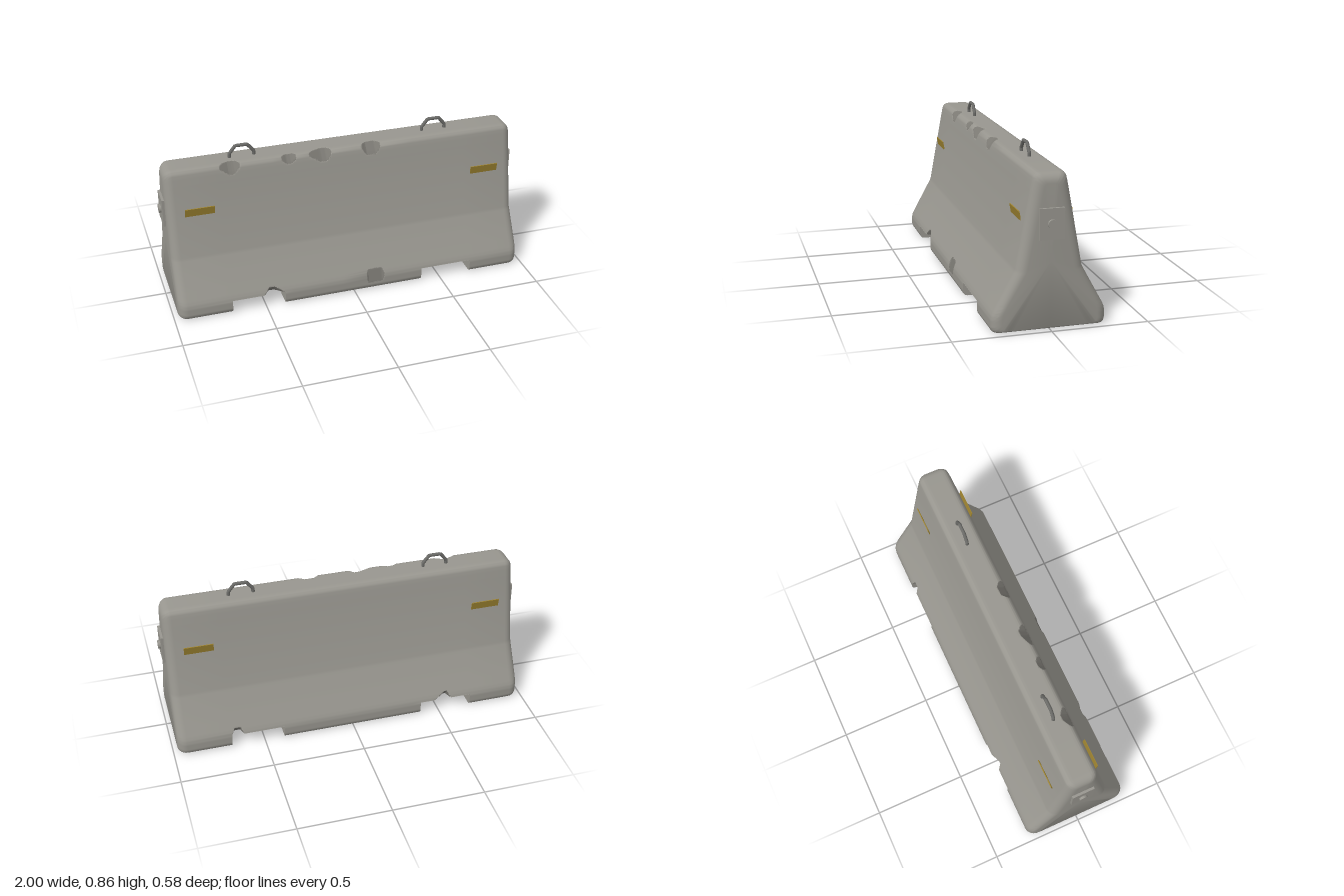
import * as THREE from 'three';
import { toCreasedNormals } from 'three/addons/utils/BufferGeometryUtils.js';

const HALF = 0.975, END_R = 0.05, NOTCH_Y = 0.075;
const NOTCHES = [[-0.685, -0.392], [0.39, 0.682]];

// Half cross-section (z, y), bottom centre to top centre
const HALF_PROFILE = [
  [0, 0], [0.225, 0], [0.268, 0], [0.28, 0.003], [0.288, 0.012], [0.292, 0.025], [0.292, 0.065],
  [0.288, 0.085], [0.28, 0.103], [0.255, 0.149], [0.175, 0.295], [0.168, 0.312], [0.097, 0.7],
  [0.088, 0.745], [0.083, 0.765], [0.073, 0.778], [0.058, 0.784], [0.025, 0.784], [0, 0.784],
];

// Broken edges: x span and flat span, side, outward direction (z, y), edge height along it, depth
const CHIPS = [
  { x: [-0.68, -0.63, -0.6, -0.565], side: 1, dir: [0.75, 0.66], top: 0.568, depth: 0.018 },
  { x: [-0.345, -0.315, -0.29, -0.26], side: 1, dir: [0.75, 0.66], top: 0.568, depth: 0.012 },
  { x: [-0.195, -0.125, -0.095, -0.065], side: 1, dir: [0.75, 0.66], top: 0.568, depth: 0.02 },
  { x: [0.1, 0.13, 0.18, 0.21], side: 1, dir: [0.75, 0.66], top: 0.568, depth: 0.018 },
  { x: [-0.51, -0.48, -0.45, -0.395], side: 1, dir: [0.8, -0.6], top: 0.189, depth: 0.035 },
  { x: [0.07, 0.08, 0.16, 0.175], side: 1, dir: [0.97, 0.24], top: 0.3005, depth: 0.0075 },
  { x: [-0.57, -0.55, -0.535, -0.475], side: -1, dir: [0.8, -0.6], top: 0.189, depth: 0.038 },
  { x: [0.615, 0.63, 0.665, 0.682], side: -1, dir: [0.8, -0.6], top: 0.189, depth: 0.035 },
];

// Full loop, subdivided finely near the chipped edges
function makeProfile() {
  const half = [];
  for (let i = 0; i < HALF_PROFILE.length - 1; i++) {
    const [z0, y0] = HALF_PROFILE[i], [z1, y1] = HALF_PROFILE[i + 1];
    const fine = (y0 >= 0.7 || y1 < 0.15) && z0 + z1 > 0.06 && i > 0;
    const n = fine ? Math.ceil(Math.hypot(z1 - z0, y1 - y0) / 0.007) : 1;
    for (let k = 0; k < n; k++) half.push([z0 + (z1 - z0) * k / n, y0 + (y1 - y0) * k / n]);
  }
  half.push(HALF_PROFILE.at(-1));
  return [...half, ...half.slice(1, -1).reverse().map(([z, y]) => [-z, y])];
}

function halfWidth(y) {
  if (y < 0.1) return 0.29;
  if (y < 0.3) return 0.29 - (y - 0.1) * 0.6;
  return 0.17 - (y - 0.3) * 0.175;
}

// Stations along x, with doubled ones at the notch walls
function makeStations() {
  const list = [];
  for (let i = 0; i <= 6; i++) {
    const a = i / 6 * Math.PI / 2;
    const x = HALF - END_R * (1 - Math.sin(a)), inset = END_R * (1 - Math.cos(a));
    // a = 90 degrees is the end face
    for (const s of [-1, 1]) list.push({ x: s * x, inset, notch: false, order: 0 });
  }
  for (const [a, b] of NOTCHES) {
    list.push({ x: a, inset: 0, notch: false, order: 0 }, { x: a, inset: 0, notch: true, order: 1 });
    list.push({ x: b, inset: 0, notch: true, order: 0 }, { x: b, inset: 0, notch: false, order: 1 });
  }
  for (const c of CHIPS) {
    const n = Math.round((c.x[3] - c.x[0]) / 0.006);
    const xs = [c.x[1], c.x[2]];
    for (let i = 0; i <= n; i++) xs.push(c.x[0] + (c.x[3] - c.x[0]) * i / n);
    for (const x of xs) {
      if (list.some(s => Math.abs(s.x - x) < 0.0015)) continue;
      list.push({ x, inset: 0, notch: NOTCHES.some(([a, b]) => x > a && x < b), order: 0 });
    }
  }
  return list.sort((p, q) => p.x - q.x || p.order - q.order);
}

// Pushes a point inside a chip back onto its broken surface
function applyChips(p) {
  let hit = false;
  for (const { x, side, dir, top, depth } of CHIPS) {
    if (p.x <= x[0] || p.x >= x[3] || p.z * side <= 0) continue;
    const t = Math.min(1, (p.x - x[0]) / (x[1] - x[0]), (x[3] - p.x) / (x[3] - x[2]));
    const over = p.z * side * dir[0] + p.y * dir[1] - (top - depth * t);
    if (over <= 0) continue;
    p.z -= side * dir[0] * over;
    p.y -= dir[1] * over;
    hit = true;
  }
  return hit;
}

function makeBody(materials) {
  const profile = makeProfile();
  const rings = makeStations().map(({ x, inset, notch }) => profile.map(([z, y]) => {
    const nz = z * (1 - inset / halfWidth(y));
    let ny = y > 0.3 ? 0.3 + (y - 0.3) * (1 - inset / 0.484) : y + 0.3 * inset * (1 - y / 0.3);
    if (notch) ny = Math.max(ny, NOTCH_Y);
    const p = new THREE.Vector3(x, ny, nz);
    return { p, hit: applyChips(p) };
  }));
  const concrete = [], broken = [];
  const e1 = new THREE.Vector3(), e2 = new THREE.Vector3();
  const tri = (a, b, c) => {
    e1.subVectors(b.p, a.p).cross(e2.subVectors(c.p, a.p));
    if (e1.length() < 1e-9) return;
    const target = [a, b, c].filter(v => v.hit).length >= 2 ? broken : concrete;
    for (const v of [a, b, c]) target.push(v.p.x, v.p.y, v.p.z);
  };
  const n = profile.length;
  for (let i = 0; i < rings.length - 1; i++) {
    for (let j = 0; j < n; j++) {
      const k = (j + 1) % n, A = rings[i], B = rings[i + 1];
      tri(A[j], B[j], B[k]);
      tri(A[j], B[k], A[k]);
    }
  }
  // Flat end faces
  for (const [ring, s] of [[rings[0], -1], [rings.at(-1), 1]]) {
    const mid = { p: new THREE.Vector3(s * HALF, 0.35, 0), hit: false };
    for (let j = 0; j < n; j++) {
      const a = ring[j], b = ring[(j + 1) % n];
      if (s > 0) tri(mid, b, a); else tri(mid, a, b);
    }
  }
  const geo = new THREE.BufferGeometry();
  geo.setAttribute('position', new THREE.Float32BufferAttribute(concrete.concat(broken), 3));
  const out = toCreasedNormals(geo, 0.6);
  out.clearGroups();
  out.addGroup(0, concrete.length / 3, 0);
  out.addGroup(concrete.length / 3, broken.length / 3, 1);
  return new THREE.Mesh(out, materials);
}

export function createModel() {
  const mat = (name, color) => {
    const m = new THREE.MeshStandardMaterial({ color });
    m.name = name;
    return m;
  };
  const concrete = mat('concrete', 0x98968f);
  const broken = mat('broken concrete', 0x7c7a74);
  const steel = mat('steel', 0x6c6c69);
  const amber = mat('amber reflector', 0x9c8230);

  const model = new THREE.Group();
  model.name = 'roadBarrier';
  const add = (name, mesh, x = 0, y = 0, z = 0) => {
    mesh.name = name;
    mesh.position.set(x, y, z);
    model.add(mesh);
    return mesh;
  };

  add('body', makeBody([concrete, broken]));

  // Lifting loops
  const pts = [[-0.066, 0.76], [-0.066, 0.805], [-0.032, 0.847], [0.032, 0.847], [0.066, 0.805], [0.066, 0.76]]
    .map(([x, y]) => new THREE.Vector3(x, y, 0));
  const path = new THREE.CurvePath();
  for (let i = 0; i < pts.length - 1; i++) path.add(new THREE.LineCurve3(pts[i], pts[i + 1]));
  const loopGeo = new THREE.TubeGeometry(path, 40, 0.0095, 8);

  for (const s of [-1, 1]) {
    const sideName = s > 0 ? 'left' : 'right';
    add(sideName + 'LiftingLoop', new THREE.Mesh(loopGeo, steel), s * 0.54);

    // End plate with its bolt
    add(sideName + 'EndPlate', new THREE.Mesh(new THREE.BoxGeometry(0.02, 0.156, 0.125), concrete), s * 0.978, 0.539);
    const bolt = new THREE.Mesh(new THREE.CylinderGeometry(0.023, 0.023, 0.03, 12), concrete);
    bolt.rotation.z = Math.PI / 2;
    add(sideName + 'EndBolt', bolt, s * 0.985, 0.54);

    // Reflectors, tipped outwards at the top
    for (const f of [-1, 1]) {
      const plate = new THREE.Mesh(new THREE.BoxGeometry(0.158, 0.046, 0.005), amber);
      plate.rotation.x = f * 0.18;
      add(sideName + (f > 0 ? 'Front' : 'Back') + 'Reflector', plate, s * 0.802, 0.56, f * 0.13);
    }
  }
  return model;
}
